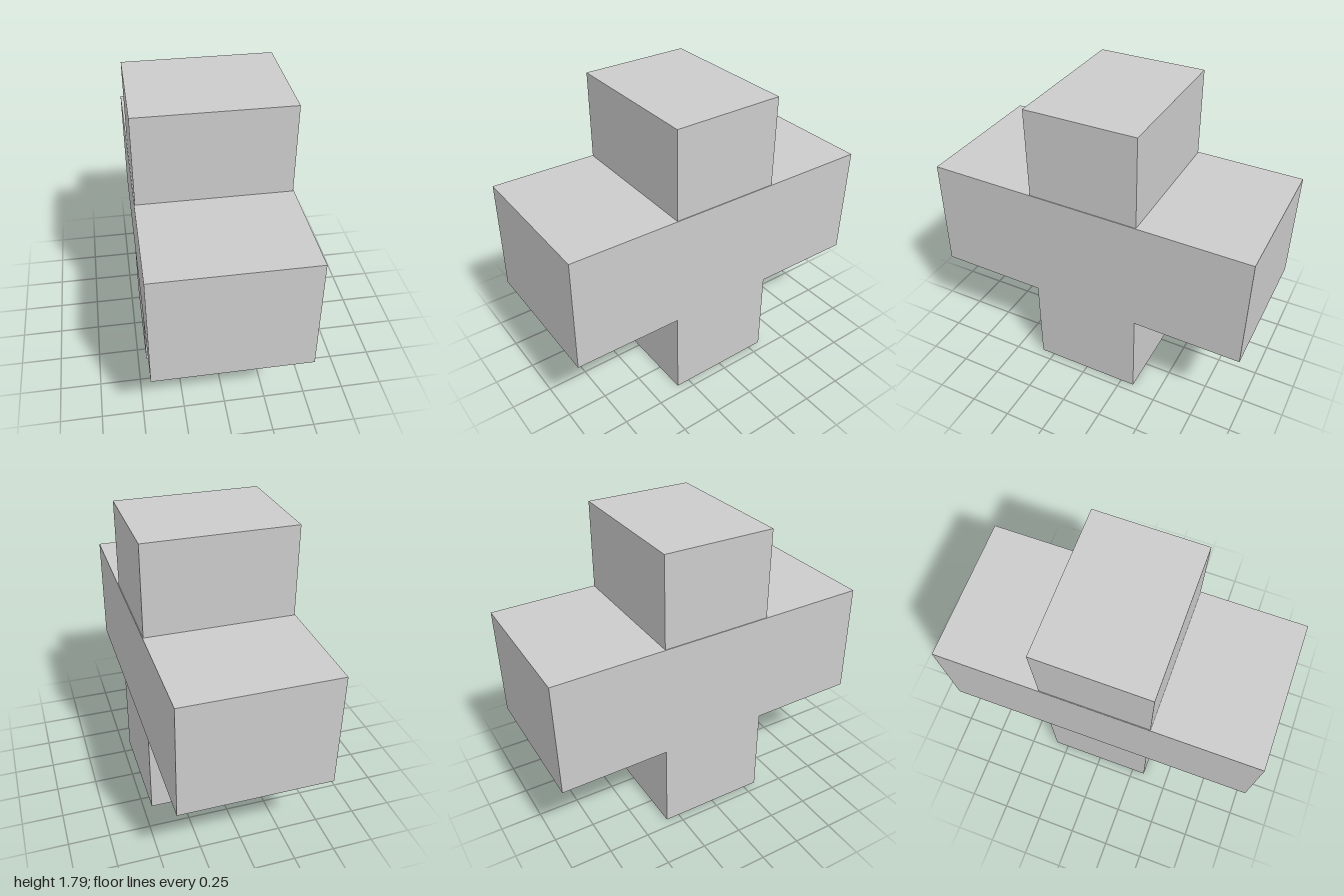
import * as THREE from 'three';

const material = new THREE.MeshStandardMaterial({ color: 0xcccccc, flatShading: true });

function block(name, width, height, depth) {
  const mesh = new THREE.Mesh(new THREE.BoxGeometry(width, height, depth), material);
  mesh.name = name;
  mesh.position.y = 0.897;
  return mesh;
}

export function createModel() {
  const group = new THREE.Group();
  group.name = 'crossedBlocks';

  // Upright block standing on the ground
  const upright = block('uprightBlock', 0.895, 1.794, 0.67);

  // Slightly wider crossing block, tipped a little up at the front
  const crossbar = block('crossBlock', 0.904, 0.697, 1.99);
  crossbar.position.y = 0.899;
  crossbar.rotation.x = -0.0138;

  group.add(upright, crossbar);
  return group;
}
